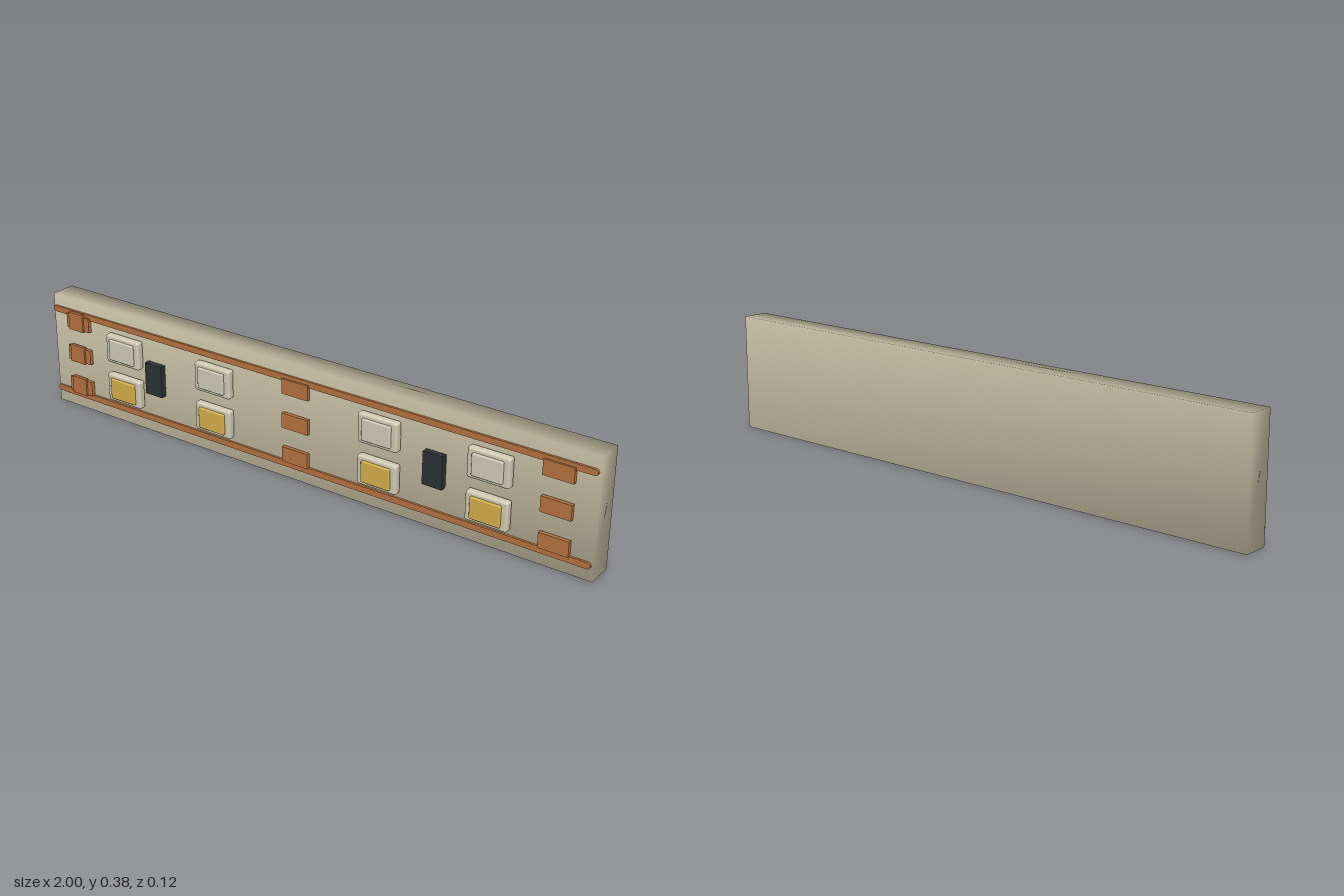
import * as THREE from 'three';
import { mergeVertices } from 'three/addons/utils/BufferGeometryUtils.js';
import { RoundedBoxGeometry } from 'three/addons/geometries/RoundedBoxGeometry.js';

const mat = (name, color) => {
  const m = new THREE.MeshStandardMaterial({ color });
  m.name = name;
  return m;
};

export function createModel() {
  const root = new THREE.Group();
  const cream = mat('cream board', 0xc9c1a6);
  const shell = mat('pale housing', 0xd2cbb4);
  const clear = mat('white lens', 0xd2ceba);
  const amber = mat('yellow lens', 0xd6b14c);
  const copper = mat('copper', 0xb87440);
  const black = mat('black chip', 0x2c3236);

  const add = (name, geo, material, x, y, z, parent = root) => {
    const mesh = new THREE.Mesh(geo, material);
    mesh.name = name;
    mesh.position.set(x, y, z);
    parent.add(mesh);
    return mesh;
  };

  // Board: a slab whose normals blend softly round its edges
  let slab = new THREE.BoxGeometry(2, 0.383, 0.085);
  slab.deleteAttribute('normal');
  slab.deleteAttribute('uv');
  slab = mergeVertices(slab);
  slab.computeVertexNormals();
  add('board', slab, cream, 0, 0.1915, -0.0185);

  // Two flat, round-ended conductors running the length of the board
  const r = 0.01, half = 0.985;
  const rail = new THREE.Shape();
  rail.absarc(half, 0, r, -Math.PI / 2, Math.PI / 2);
  rail.absarc(-half, 0, r, Math.PI / 2, Math.PI * 1.5);
  const railGeo = new THREE.ExtrudeGeometry(rail, { depth: 0.007, bevelEnabled: false, curveSegments: 8 });
  for (const [name, y] of [['lowerRail', 0.051], ['upperRail', 0.336]]) add(name, railGeo, copper, 0, y, 0.027);

  // Solder pads in three columns; the left column carries raised contacts
  const padGeo = new THREE.BoxGeometry(0.096, 0.049, 0.012);
  const contactGeo = new THREE.BoxGeometry(0.06, 0.06, 0.01);
  for (const y of [0.084, 0.197, 0.31]) {
    for (const x of [-0.883, 0, 0.882]) add('solderPad', padGeo, copper, x, y, 0.034);
    add('raisedContact', contactGeo, copper, -0.886, y + 0.003, 0.041);
  }

  // Lamps: rounded housing with a lens, yellow below and white above
  const bodyGeo = new RoundedBoxGeometry(0.138, 0.096, 0.027, 3, 0.008);
  const lensGeo = new RoundedBoxGeometry(0.1, 0.07, 0.012, 2, 0.004);
  for (const x of [-0.68, -0.31, 0.305, 0.674]) {
    for (const [y, lens] of [[0.125, amber], [0.261, clear]]) {
      const lamp = new THREE.Group();
      lamp.name = 'lamp';
      lamp.position.set(x, y, 0);
      root.add(lamp);
      add('lampHousing', bodyGeo, shell, 0, 0, 0.0395, lamp);
      add('lampLens', lensGeo, lens, 0, 0, 0.055, lamp);
    }
  }

  // Resistor chips
  const chipGeo = new THREE.BoxGeometry(0.067, 0.106, 0.02);
  for (const x of [-0.555, 0.492]) add('chip', chipGeo, black, x, 0.195, 0.037);

  return root;
}
